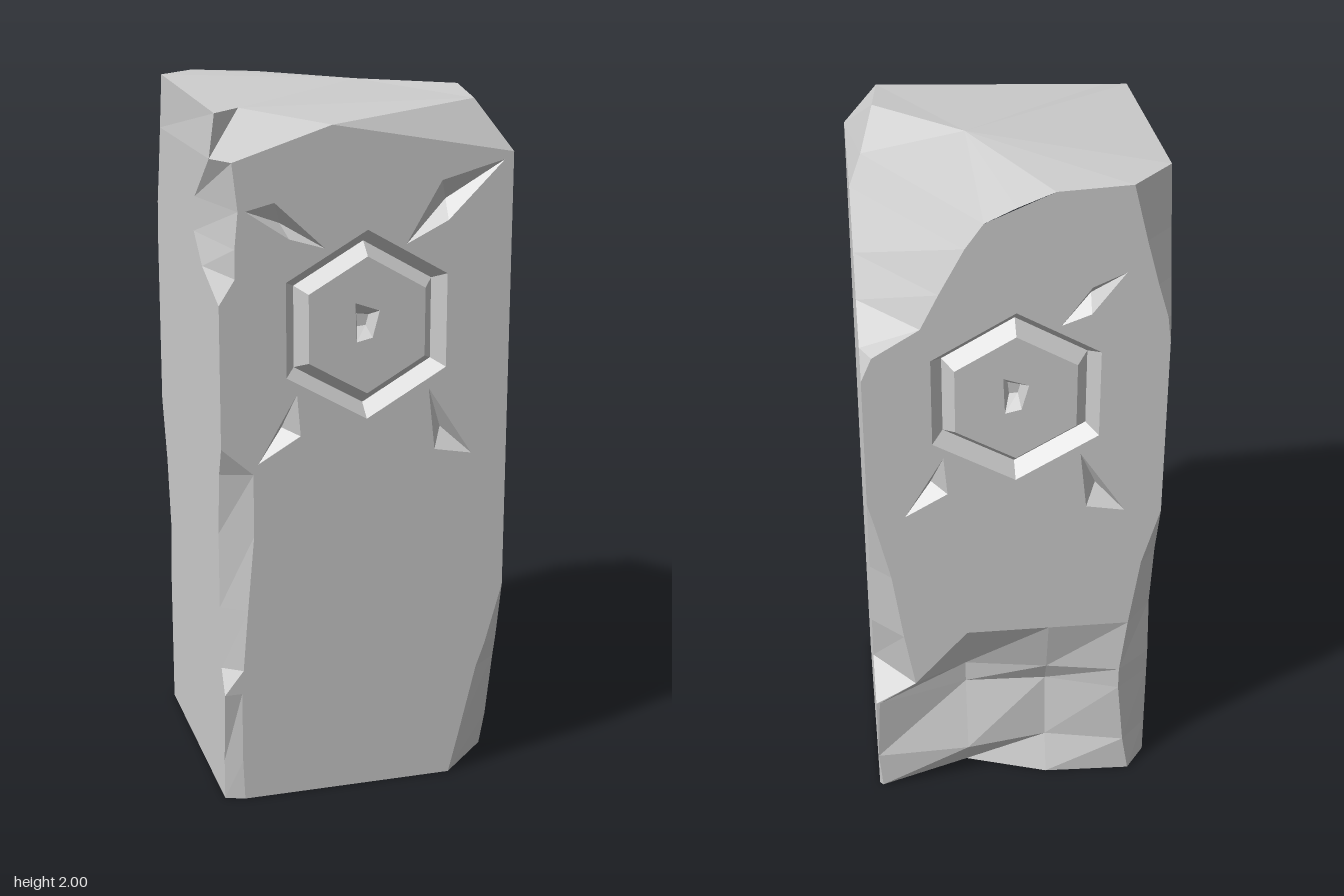
import * as THREE from 'three';

const H = 0.415; // half width of the pillar
const V = (x, y, z) => new THREE.Vector3(x, y, z);

// Corner chips by height. Each row: y, then insets from the full square:
// front-left x,z | back-left z,x | back-right x,z | front-right z,x | two points along the back
const ROWS = [
  [0.00, .155, .155, .01, .01, .06, .08, .02, .055, .09, .01],
  [0.12, .125, .11, .00, .00, .08, .08, .02, .05, .01, .05],
  [0.33, .075, .06, .00, .01, .10, .08, .00, .05, .08, .07],
  [0.40, .050, .04, .145, .12, .10, .08, .04, .055, .08, .04],
  [0.58, 0, 0, .09, .09, .08, .10, .05, .07, 0, 0],
  [0.80, 0, 0, .06, .06, .05, .06, .05, .09],
  [0.98, 0, 0, .02, .02, 0, 0, .03, .09],
  [1.06, 0, 0, 0, 0, 0, 0, 0, 0],
  [1.46, 0, 0, 0, 0, 0, 0, 0, 0],
  [1.53, 0, 0, .06, .03, 0, 0, .20, .045],
  [1.61, 0, 0, .18, .16, .01, .01, .30, .045],
  [1.71, 0, 0, .26, .21, .04, .04, .28, .055],
  [1.84, 0, 0, .40, .28, .075, .075, .09, .04],
];
const PANEL_ROW = 4; // the flat back begins at this row

function ring([y, fx, fz, bz, bx, cx, cz, dz, dx, m1 = 0, m2 = 0]) {
  return [
    V(H - fx, y, H), V(H, y, H - fz),
    V(H, y, -H + bz), V(H - bx, y, -H),
    V(0.14, y, -H + m1), V(-0.1, y, -H + m2),
    V(-H + cx, y, -H), V(-H, y, -H + cz),
    V(-H, y, H - dz), V(-H + dx, y, H),
  ];
}

// Collects triangles into one faceted geometry
class Facets {
  constructor() { this.pos = []; }
  tri(a, b, c) { for (const p of [a, b, c]) this.pos.push(p.x, p.y, p.z); }
  quad(a, b, c, d) { this.tri(a, b, c); this.tri(a, c, d); }
  loft(a, b) { // closed loops of equal length
    a.forEach((p, i) => {
      const j = (i + 1) % a.length;
      this.quad(p, a[j], b[j], b[i]);
    });
  }
  fan(loop, c) { loop.forEach((p, i) => this.tri(p, loop[(i + 1) % loop.length], c)); }
  mesh(name, mat) {
    const g = new THREE.BufferGeometry();
    g.setAttribute('position', new THREE.Float32BufferAttribute(this.pos, 3));
    g.computeVertexNormals();
    const m = new THREE.Mesh(g, mat);
    m.name = name;
    return m;
  }
}

const flat = (pts) => pts.map(([x, y]) => new THREE.Vector2(x, y));
const lift = (pts, z) => pts.map((p) => V(p.x, p.y, z));
const ccw = (pts) => (THREE.ShapeUtils.isClockWise(pts) ? pts.slice().reverse() : pts);

function hexagon(r) {
  return Array.from({ length: 6 }, (_, i) => {
    const a = Math.PI / 2 + (i * Math.PI) / 3;
    return new THREE.Vector2(r * Math.cos(a), 1.38 + r * Math.sin(a));
  });
}

function plate(name, outline, holes, mat) {
  const shape = new THREE.Shape(outline);
  shape.holes = holes.map((h) => new THREE.Path(h));
  const m = new THREE.Mesh(new THREE.ShapeGeometry(shape), mat);
  m.position.z = H;
  m.name = name;
  return m;
}

// Carved face: a hexagonal groove, a centre hole and wedge cuts radiating from it
function carvedFace(name, outline, cuts, mat) {
  const group = new THREE.Group();
  group.name = name;
  const wedges = cuts.map((c) => ccw(flat(c)));
  const outer = hexagon(0.265), valley = hexagon(0.228), inner = hexagon(0.192);
  const hole = ccw(flat([[-0.035, 1.445], [-0.03, 1.335], [0.015, 1.345], [0.035, 1.42]]));
  const holeFloor = ccw(flat([[-0.018, 1.405], [-0.014, 1.368], [0.01, 1.37], [0.018, 1.4]]));

  group.add(plate('wall', outline, [outer, ...wedges], mat));
  group.add(plate('hexagonBoss', inner, [hole], mat));

  const groove = new Facets();
  groove.loft(lift(outer, H), lift(valley, H - 0.045));
  groove.loft(lift(valley, H - 0.045), lift(inner, H));
  group.add(groove.mesh('hexagonGroove', mat));

  const pit = new Facets();
  pit.loft(lift(hole, H), lift(holeFloor, H - 0.05));
  pit.quad(...lift(holeFloor, H - 0.05));
  group.add(pit.mesh('centreHole', mat));

  const rays = new Facets();
  for (const w of wedges) {
    const mid = w.reduce((s, p) => s.add(p), new THREE.Vector2()).divideScalar(w.length);
    rays.fan(lift(w, H), V(mid.x, mid.y, H - 0.045));
  }
  group.add(rays.mesh('wedgeCuts', mat));
  return group;
}

export function createModel() {
  const mat = new THREE.MeshStandardMaterial({ color: 0xcccccc, flatShading: true });
  const model = new THREE.Group();
  model.name = 'carvedStonePillar';
  const rings = ROWS.map(ring);
  const last = rings[rings.length - 1];

  // Broken top edge, in the same point order as the rings
  const top = [
    V(0.32, 1.98, 0.35), V(0.34, 2, 0.16), V(0.38, 1.92, 0.02), V(0.085, 1.91, -H),
    V(0, 1.95, -H), V(-0.1, 1.99, -H), V(-0.3, 2, -H), V(-H, 2, -0.3),
    V(-0.4, 1.96, 0.33), V(-0.33, 1.97, 0.31),
  ];
  const brow = V(-0.1, 1.93, H);

  // Side walls with chipped corners; flat front and back are left open for the carved faces
  const sides = new Facets();
  const levels = [...rings, top];
  for (let r = 0; r < levels.length - 1; r++) {
    for (let i = 0; i < 9; i++) {
      if (r >= PANEL_ROW && i >= 3 && i <= 5) continue;
      const a = levels[r], b = levels[r + 1];
      sides.quad(a[i], a[i + 1], b[i + 1], b[i]);
    }
  }
  model.add(sides.mesh('chippedSides', mat));

  // Top with its sloping front edge, and the underside
  const cap = new Facets();
  cap.fan(top, V(0.1, 2, -0.04));
  cap.tri(last[9], brow, top[9]);
  cap.tri(brow, top[0], top[9]);
  cap.tri(brow, last[0], top[0]);
  model.add(cap.mesh('top', mat));
  const base = new Facets();
  base.fan(rings[0].slice().reverse(), V(0, 0, 0));
  model.add(base.mesh('underside', mat));

  const lowerLeftCut = [[-0.2, 1.2], [-0.19, 1.08], [-0.31, 1.01]];
  const lowerRightCut = [[0.18, 1.19], [0.31, 0.99], [0.2, 1.01]];

  // Front face
  const xy = (p, s) => new THREE.Vector2(p.x * s, p.y);
  const frontOutline = [
    ...rings.map((l) => xy(l[0], 1)), xy(brow, 1),
    ...rings.map((l) => xy(l[9], 1)).reverse(),
  ];
  model.add(carvedFace('frontFace', frontOutline, [
    [[0.11, 1.6], [0.23, 1.66], [0.39, 1.82], [0.21, 1.77]],
    [[-0.12, 1.6], [-0.26, 1.73], [-0.34, 1.71], [-0.22, 1.63]],
    lowerLeftCut, lowerRightCut,
  ], mat));

  // Back face, drawn facing forward and turned round
  const upper = levels.slice(PANEL_ROW);
  const backOutline = [
    ...upper.map((l) => xy(l[6], -1)), xy(top[5], -1),
    ...upper.map((l) => xy(l[3], -1)).reverse(),
  ];
  const back = carvedFace('backFace', backOutline, [
    [[0.12, 1.6], [0.2, 1.63], [0.29, 1.75], [0.2, 1.71]],
    lowerLeftCut, lowerRightCut,
  ], mat);
  back.rotation.y = Math.PI;
  model.add(back);

  return model;
}
